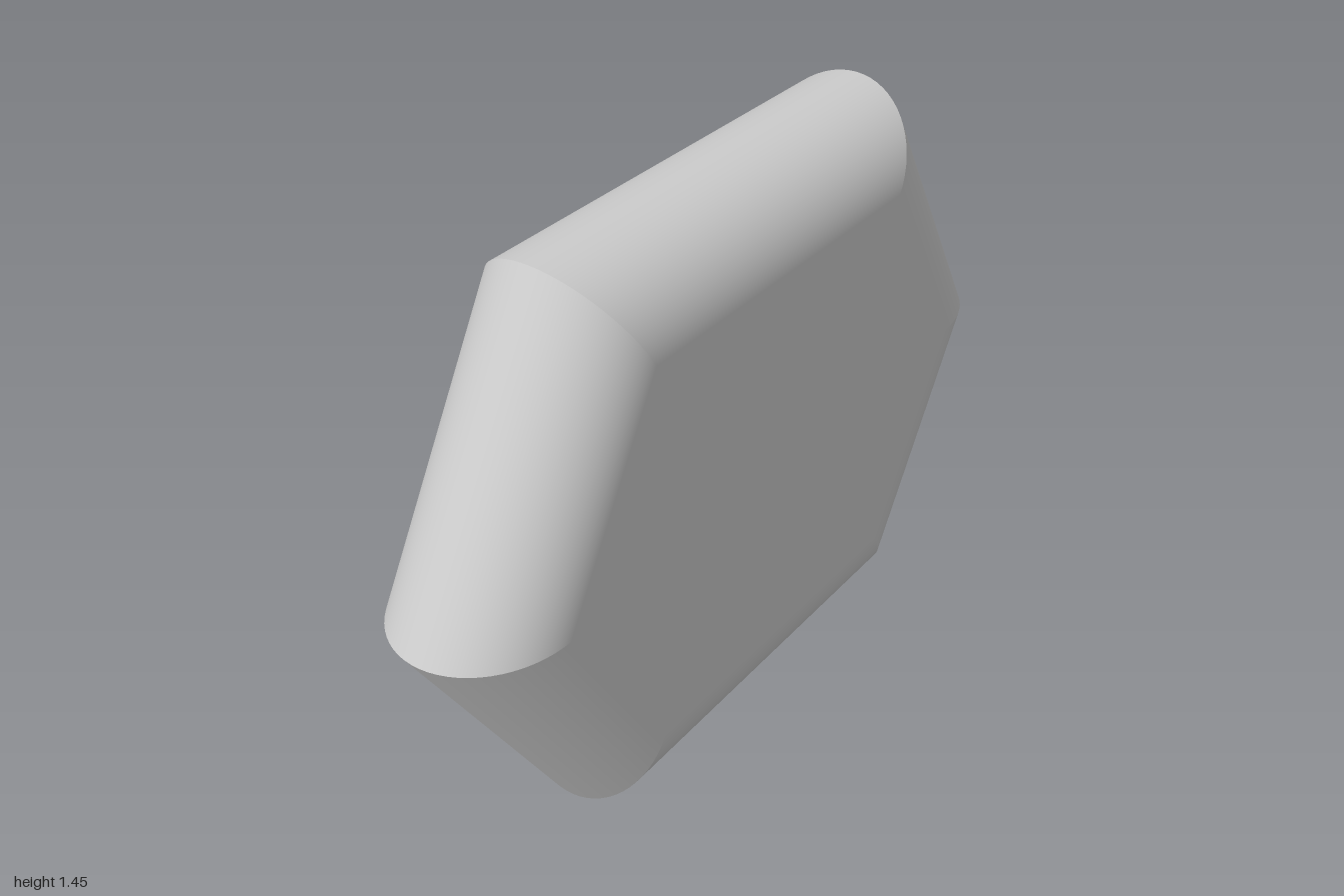
import * as THREE from 'three';

const HALF_HEIGHT = 0.725;
const RADIUS = 0.212; // half thickness and edge rounding
const SEGMENTS = 32;
const SHOULDER = 1 - HALF_HEIGHT / Math.sqrt(3);

// Corner k of the stretched hexagon, with its sides moved inward by inset
function corner(k, inset) {
  const a = (k % 6) * Math.PI / 3;
  const x = [1, SHOULDER, -SHOULDER, -1, -SHOULDER, SHOULDER][k % 6];
  const y = [0, 1, 1, 0, -1, -1][k % 6] * HALF_HEIGHT;
  const move = inset / Math.sin(Math.PI / 3);
  return new THREE.Vector2(x - Math.cos(a) * move, y - Math.sin(a) * move);
}

// Half-round side from corner k to the next, mitred at both ends
function roundedSide(k) {
  const positions = [], normals = [], indices = [];
  const a = (k + 0.5) * Math.PI / 3;
  for (let i = 0; i <= SEGMENTS; i++) {
    const t = (i / SEGMENTS - 0.5) * Math.PI;
    const c = Math.cos(t), s = Math.sin(t);
    for (const end of [k, k + 1]) {
      const p = corner(end, RADIUS * (1 - c));
      positions.push(p.x, p.y, RADIUS * s);
      normals.push(c * Math.cos(a), c * Math.sin(a), s);
    }
    if (i < SEGMENTS) {
      const n = i * 2;
      indices.push(n, n + 1, n + 3, n, n + 3, n + 2);
    }
  }
  const geometry = new THREE.BufferGeometry();
  geometry.setAttribute('position', new THREE.Float32BufferAttribute(positions, 3));
  geometry.setAttribute('normal', new THREE.Float32BufferAttribute(normals, 3));
  geometry.setIndex(indices);
  return geometry;
}

export function createModel() {
  const model = new THREE.Group();
  model.name = 'hexagonalPad';
  const material = new THREE.MeshStandardMaterial({ color: 0xcccccc });
  const add = (name, geometry) => {
    const mesh = new THREE.Mesh(geometry, material);
    mesh.name = name;
    mesh.position.y = HALF_HEIGHT;
    model.add(mesh);
    return mesh;
  };

  // Rounded rim
  const names = ['upperLeftSide', 'topSide', 'upperRightSide', 'lowerRightSide', 'bottomSide', 'lowerLeftSide'];
  names.forEach((name, k) => add(name, roundedSide(k)));

  // Flat faces
  const outline = new THREE.Shape([0, 1, 2, 3, 4, 5].map(k => corner(k, RADIUS)));
  const face = new THREE.ShapeGeometry(outline);
  add('frontFace', face).position.z = RADIUS;
  const back = add('backFace', face);
  back.position.z = -RADIUS;
  back.rotation.y = Math.PI;

  return model;
}
